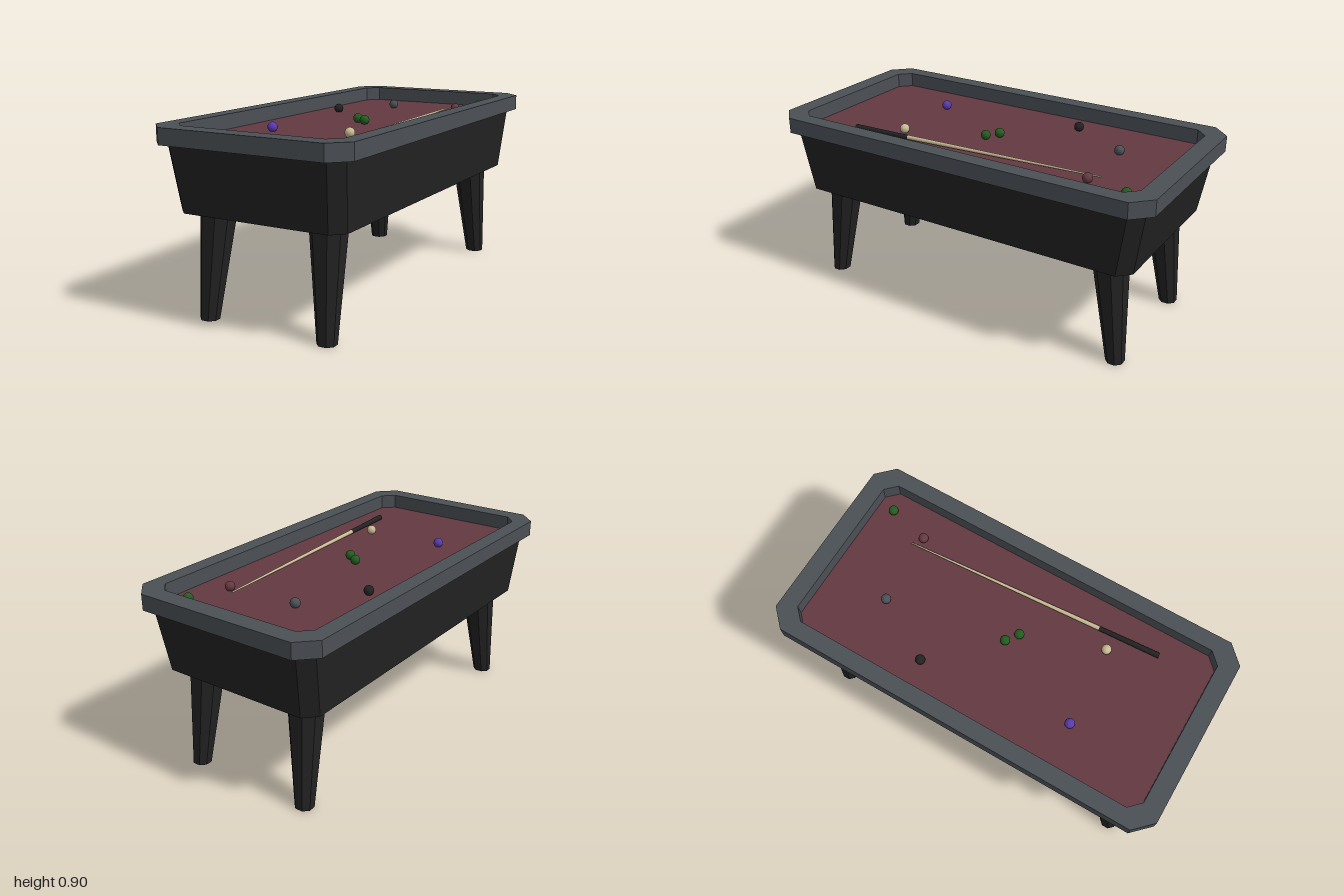
import * as THREE from 'three';

const mat = (name, color) => {
  const m = new THREE.MeshStandardMaterial({ color });
  m.name = name;
  return m;
};

// Corners of a rectangle with cut corners: half sizes w, d and cut c
const cutRect = (w, d, c) => [
  [w, -d + c], [w, d - c], [w - c, d], [-w + c, d],
  [-w, d - c], [-w, -d + c], [-w + c, -d], [w - c, -d],
];

const cutRectPath = (Type, w, d, c) =>
  new Type().setFromPoints(cutRect(w, d, c).map(([x, z]) => new THREE.Vector2(x, z)));

// Upright flat slab between y and y + h
function slab(shape, y, h) {
  const g = new THREE.ExtrudeGeometry(shape, { depth: h, bevelEnabled: false });
  g.rotateX(-Math.PI / 2);
  g.translate(0, y, 0);
  return g;
}

// Closed flat-faced solid between two cut rectangles { x, y, z, w, d, c }
function taper(bottom, top) {
  const ring = (r) => cutRect(r.w, r.d, r.c).map(([x, z]) => new THREE.Vector3(r.x + x, r.y, r.z + z));
  const a = ring(bottom), b = ring(top), n = a.length, pts = [];
  for (let i = 0; i < n; i++) {
    const j = (i + 1) % n;
    pts.push(a[i], b[i], a[j], a[j], b[i], b[j]);
    if (i > 0 && i < n - 1) pts.push(a[0], a[i], a[j], b[0], b[j], b[i]);
  }
  const g = new THREE.BufferGeometry().setFromPoints(pts);
  g.computeVertexNormals();
  return g;
}

export function createModel() {
  const table = new THREE.Group();
  table.name = 'billiardTable';
  const black = mat('black', 0x222222);
  const grey = mat('slate grey', 0x4b5055);
  const felt = mat('wine felt', 0x643a41);
  const wood = mat('pale wood', 0xc9bb95);
  const green = mat('green', 0x235c20);
  const purple = mat('purple', 0x5a3cae);

  const add = (name, geometry, material, parent = table) => {
    const mesh = new THREE.Mesh(geometry, material);
    mesh.name = name;
    parent.add(mesh);
    return mesh;
  };

  // Raised rim around the playing surface
  const rim = cutRectPath(THREE.Shape, 0.5, 1, 0.085);
  rim.holes.push(cutRectPath(THREE.Path, 0.42, 0.91, 0.055));
  add('rim', slab(rim, 0.82, 0.077), grey);

  // Playing surface
  add('cloth', slab(cutRectPath(THREE.Shape, 0.425, 0.915, 0.055), 0.818, 0.007), felt);

  // Tapered cabinet
  add('cabinet', taper(
    { x: 0, y: 0.505, z: 0, w: 0.43, d: 0.905, c: 0.058 },
    { x: 0, y: 0.82, z: 0, w: 0.455, d: 0.955, c: 0.058 },
  ), black);

  // Four splayed legs
  for (const sx of [-1, 1]) {
    for (const sz of [-1, 1]) {
      const name = (sz > 0 ? 'front' : 'back') + (sx > 0 ? 'Left' : 'Right') + 'Leg';
      add(name, taper(
        { x: sx * 0.313, y: 0, z: sz * 0.823, w: 0.043, d: 0.041, c: 0.024 },
        { x: sx * 0.289, y: 0.506, z: sz * 0.761, w: 0.079, d: 0.077, c: 0.042 },
      ), black);
    }
  }

  // Balls: x, z and colour
  const balls = new THREE.Group();
  balls.name = 'balls';
  table.add(balls);
  const ballGeometry = new THREE.SphereGeometry(0.024, 20, 14);
  const layout = [
    [0.315, -0.825, green], [0, 0.0, green], [0.06, 0.042, green],
    [0.26, -0.615, felt], [-0.105, -0.595, grey], [-0.283, -0.29, black],
    [-0.2, 0.457, purple], [0.2, 0.43, wood],
  ];
  for (const [x, z, m] of layout) add('ball', ballGeometry, m, balls).position.set(x, 0.845, z);

  // Cue lying on the cloth
  const cue = new THREE.Group();
  cue.name = 'cue';
  table.add(cue);
  const rod = (name, from, to, r0, r1, material) => {
    const dir = to.clone().sub(from);
    const mesh = add(name, new THREE.CylinderGeometry(r1, r0, dir.length(), 12), material, cue);
    mesh.position.copy(from).addScaledVector(dir, 0.5);
    mesh.quaternion.setFromUnitVectors(new THREE.Vector3(0, 1, 0), dir.normalize());
  };
  const butt = new THREE.Vector3(0.298, 0.84, 0.655);
  const joint = new THREE.Vector3(0.278, 0.84, 0.35);
  const tip = new THREE.Vector3(0.21, 0.84, -0.655);
  rod('cueHandle', butt, joint, 0.014, 0.011, black);
  rod('cueShaft', joint, tip, 0.011, 0.004, wood);

  return table;
}
